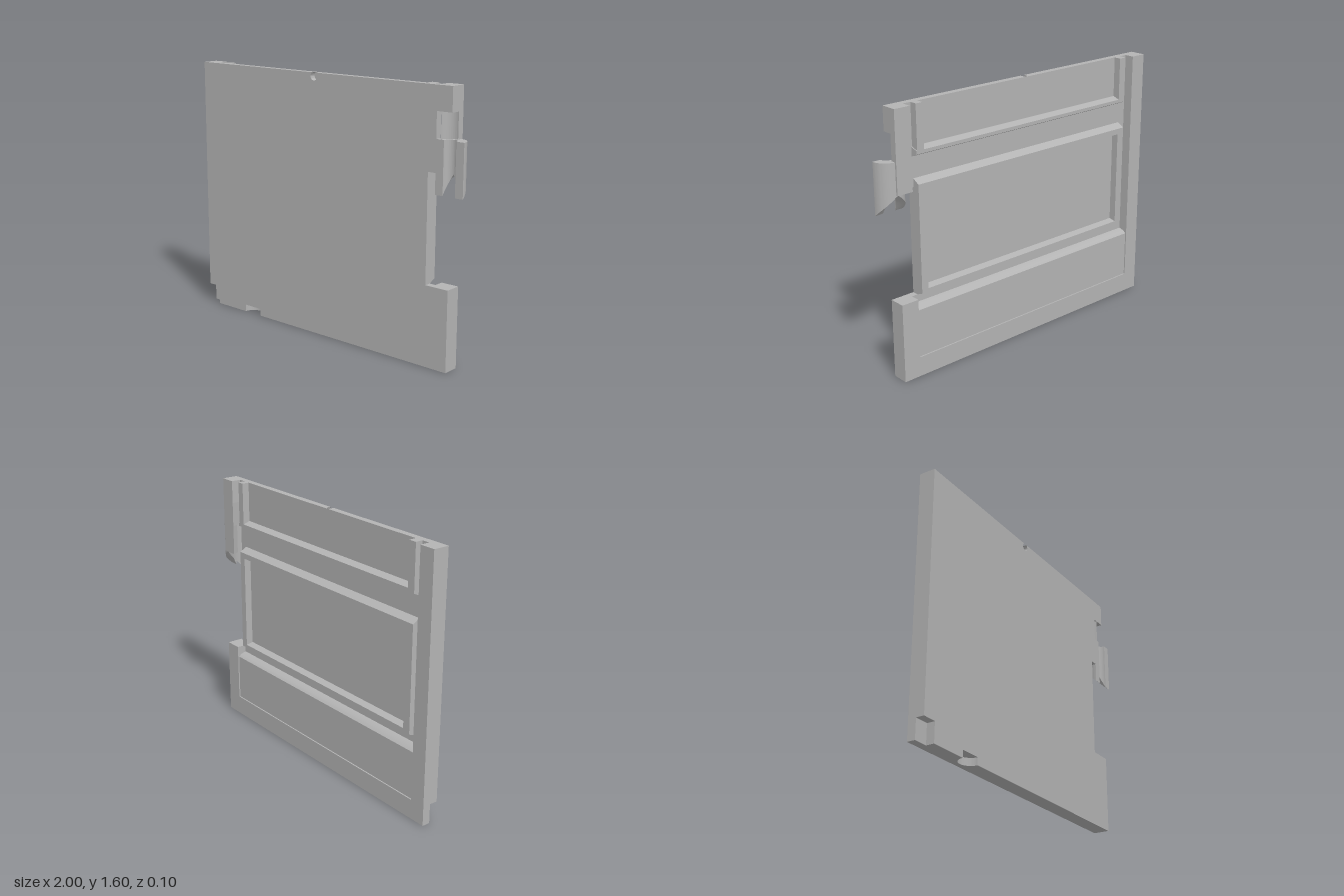
import * as THREE from 'three';
import { toCreasedNormals } from 'three/addons/utils/BufferGeometryUtils.js';

const FRONT = 0.05, BACK = -0.05, RECESS = 0.01, RIB = -0.035, TOP = 1.595;

export function createModel() {
  const group = new THREE.Group();
  const grey = new THREE.MeshStandardMaterial({ color: 0xb3b3b3 });
  grey.name = 'grey';

  const add = (name, geometry) => {
    const mesh = new THREE.Mesh(geometry, grey);
    mesh.name = name;
    group.add(mesh);
    return mesh;
  };
  const box = (name, x0, x1, y0, y1, z0, z1) =>
    add(name, new THREE.BoxGeometry(x1 - x0, y1 - y0, z1 - z0))
      .position.set((x0 + x1) / 2, (y0 + y1) / 2, (z0 + z1) / 2);
  const polygon = (pts) => new THREE.Shape(pts.map(([x, y]) => new THREE.Vector2(x, y)));
  const extrude = (shape, depth) =>
    toCreasedNormals(new THREE.ExtrudeGeometry(shape, { depth, bevelEnabled: false, curveSegments: 24 }), 0.5);

  // Floor plan (x, -z) raised from y0 to y1
  const plan = (name, shape, y0, y1) => {
    const g = extrude(shape, y1 - y0);
    g.rotateX(-Math.PI / 2);
    add(name, g.translate(0, y0, 0));
  };
  // Profile of [z, y] points swept from x0 to x1
  const sweep = (name, pts, x0, x1) => {
    const g = extrude(polygon(pts.map(([z, y]) => [-z, y])), x1 - x0);
    g.rotateY(Math.PI / 2);
    add(name, g.translate(x0, 0, 0));
  };
  // Horizontal rib with sloping flanks
  const rib = (name, x0, x1, y0, y1, slope0, slope1) =>
    sweep(name, [[RECESS, y0], [RECESS, y1], [RIB, y1 - slope1], [RIB, y0 + slope0]], x0, x1);

  // Front skin, with a small blind round notch in the top edge
  const outline = (notch) => {
    const s = new THREE.Shape();
    s.moveTo(-1, 0.12);
    s.lineTo(0.92, 0.12);
    s.lineTo(0.92, 0.48);
    s.lineTo(0.77, 0.48);
    s.lineTo(0.77, 1.12);
    s.lineTo(0.82, 1.12);
    s.lineTo(0.82, TOP);
    if (notch) {
      const a = Math.asin(0.022 / 0.025);
      s.absarc(-0.06, TOP - 0.022, 0.025, a, Math.PI - a, true);
    }
    s.lineTo(-1, TOP);
    return s;
  };
  add('frontSkin', extrude(outline(true), 0.035)).position.z = 0.015;
  add('skinBacking', extrude(outline(false), 0.005)).position.z = RECESS;

  // Bottom rail: corner step on one end, half-round scoop in the underside
  const rail = (scoop) => {
    const s = new THREE.Shape();
    s.moveTo(-1, 0);
    s.lineTo(-0.91, 0);
    s.lineTo(-0.91, -FRONT);
    if (scoop) s.absarc(-0.597, -FRONT, 0.067, Math.PI, 0, true);
    s.lineTo(0.92, -FRONT);
    s.lineTo(0.92, -BACK);
    s.lineTo(-1, -BACK);
    return s;
  };
  plan('bottomRailLower', rail(true), 0, 0.045);
  plan('bottomRailUpper', rail(false), 0.045, 0.12);

  // Side stiles
  box('rightStile', -1, -0.9, 0.12, TOP, BACK, RECESS);
  box('leftLowerStile', 0.81, 0.92, 0.12, 0.48, BACK, RECESS);

  // Upper left stile in stacked layers, hollowed by a round socket
  const stile = (r) => {
    const s = new THREE.Shape();
    s.moveTo(0.82, -FRONT);
    if (r) s.absarc(0.91, -FRONT, r, Math.PI, Math.acos(0.01 / r), true);
    else s.lineTo(0.92, -FRONT);
    s.lineTo(0.92, -BACK);
    s.lineTo(0.82, -BACK);
    return s;
  };
  plan('stileHingeSection', stile(0.04), 1.12, 1.305);
  plan('stileSocketSection', stile(0.06), 1.305, 1.455);
  plan('stileTopSection', stile(0), 1.455, TOP);

  // Half-pipe hinge knuckle with a helical lower edge
  const pos = [], idx = [], N = 40;
  for (let i = 0; i <= N; i++) {
    const a = Math.PI * i / N;
    const low = 1 + 0.12 * (1 - Math.abs(1 - 2 * i / N));
    for (const [r, y] of [[0.04, low], [0.09, low], [0.09, 1.305], [0.04, 1.305]])
      pos.push(0.91 + r * Math.cos(a), y, FRONT - r * Math.sin(a));
    if (i < N) for (let j = 0; j < 4; j++) {
      const p = i * 4 + j, q = i * 4 + (j + 1) % 4;
      idx.push(p, p + 4, q, q, p + 4, q + 4);
    }
  }
  const e = N * 4;
  idx.push(0, 1, 2, 0, 2, 3, e, e + 2, e + 1, e, e + 3, e + 2);
  const knuckle = new THREE.BufferGeometry();
  knuckle.setAttribute('position', new THREE.Float32BufferAttribute(pos, 3));
  knuckle.setIndex(idx);
  add('hingeKnuckle', toCreasedNormals(knuckle, 0.5));

  // Upper panel: three-sided rib open at the top
  rib('upperPanelRib', -0.85, 0.775, 1.295, 1.35, 0.02, 0.015);
  // Middle panel: closed rib frame
  rib('middlePanelTopRib', -0.85, 0.77, 1.11, 1.17, 0, 0.025);
  rib('middlePanelBottomRib', -0.85, 0.77, 0.48, 0.53, 0.02, 0.01);
  for (const [x0, x1, side] of [[-0.85, -0.8, 'Right'], [0.725, 0.77, 'Left']]) {
    box('upperPanelRib' + side, x0, x1, 1.32, TOP, RIB, RECESS);
    box('middlePanelRib' + side, x0, x1, 0.51, 1.14, RIB, RECESS);
  }

  // Lower panel, set just below the frame, with a sloping top edge
  sweep('lowerPanel', [[RECESS, 0.12], [RECESS, 0.435], [-0.025, 0.425], [-0.042, 0.41], [-0.042, 0.12]], -0.9, 0.81);

  return group;
}
